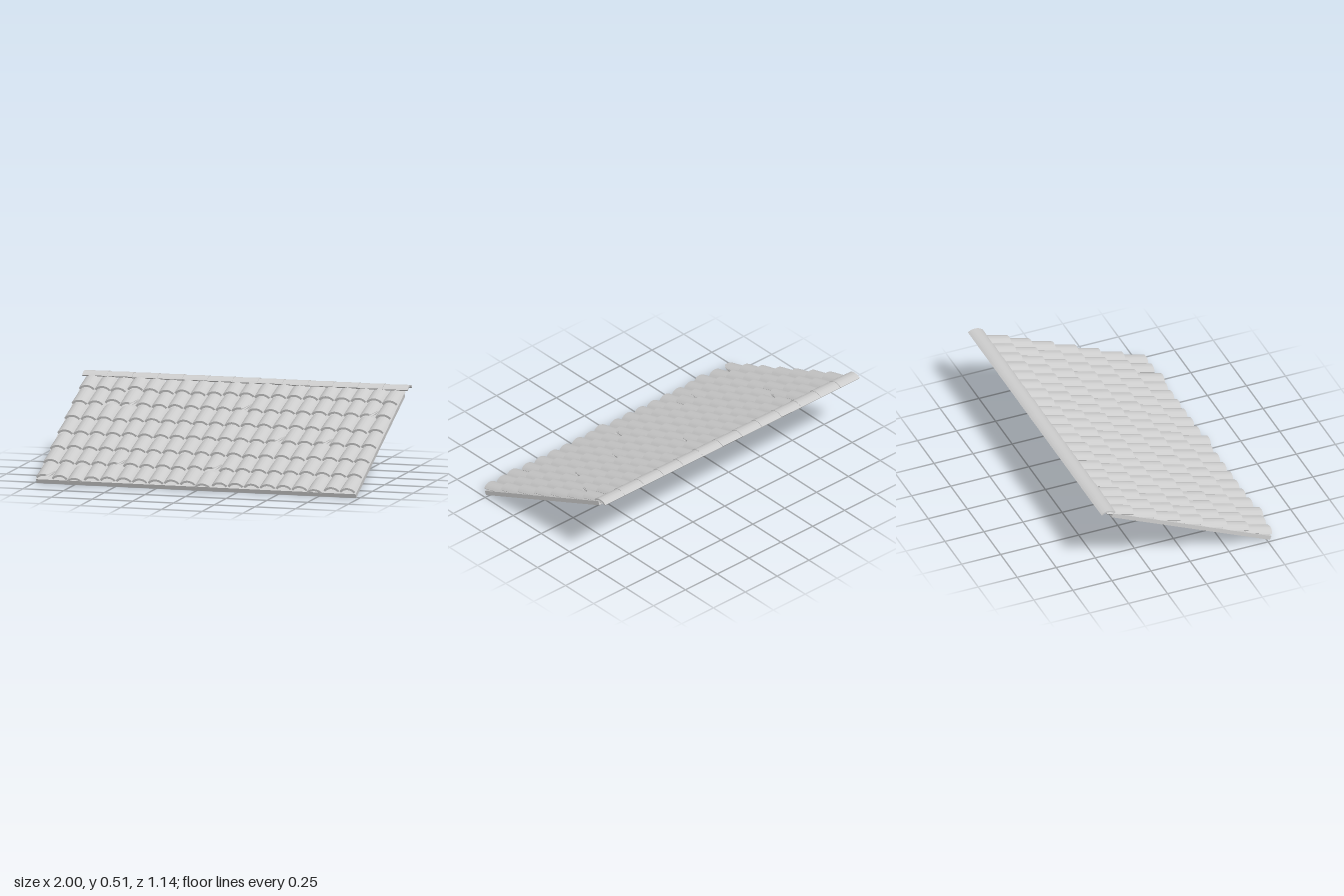
import * as THREE from 'three';
import { toCreasedNormals } from 'three/addons/utils/BufferGeometryUtils.js';

const material = new THREE.MeshStandardMaterial({ color: 0xcccccc });
const COLS = 20, ROWS = 7, PITCH = 0.0982;
const LEFT = -0.985;

// Curved shell with its crest at y = 0, running back from z = 0 to z = -length
function archGeometry(radius, halfAngle, thickness, length, reshape) {
  const a = Math.PI / 2 - halfAngle, b = Math.PI / 2 + halfAngle;
  const shape = new THREE.Shape();
  shape.absarc(0, -radius, radius, a, b, false);
  shape.absarc(0, -radius, radius - thickness, b, a, true);
  const geo = new THREE.ExtrudeGeometry(shape, { depth: length, bevelEnabled: false, curveSegments: 10 });
  geo.translate(0, 0, -length);
  if (reshape) {
    const p = geo.attributes.position, v = new THREE.Vector3();
    for (let i = 0; i < p.count; i++) {
      reshape(v.fromBufferAttribute(p, i));
      p.setXYZ(i, v.x, v.y, v.z);
    }
  }
  return toCreasedNormals(geo, 0.6);
}

function addMesh(parent, name, geo, x, y, z) {
  const mesh = new THREE.Mesh(geo, material);
  mesh.name = name;
  mesh.position.set(x, y, z);
  parent.add(mesh);
  return mesh;
}

function seeded(seed) {
  return () => (seed = (seed * 16807) % 2147483647) / 2147483647;
}

export function createModel() {
  const model = new THREE.Group();
  model.name = 'roofPanel';
  const rand = seeded(17);

  // Sloping deck, drawn from the side and extruded across the width
  const side = new THREE.Shape([[-0.517, 0], [0.495, 0.448], [0.485, 0.472], [-0.527, 0.024]]
    .map(([u, y]) => new THREE.Vector2(u, y)));
  const deckGeo = new THREE.ExtrudeGeometry(side, { depth: COLS * PITCH, bevelEnabled: false });
  deckGeo.translate(0, 0, LEFT).rotateY(Math.PI / 2);
  addMesh(model, 'deck', deckGeo, 0, 0, 0);

  // Barrel tiles: whole ones and ones with a broken front corner
  const whole = archGeometry(0.0635, 0.875, 0.013, 0.178);
  const chipped = archGeometry(0.0635, 0.875, 0.013, 0.178, (v) => {
    if (v.z > -0.01 && v.x > 0.025) v.z -= (v.x - 0.025) * 4;
  });
  const chips = ['0,0', '1,4', '1,10', '3,13', '3,16', '5,3', '5,10', '5,18'];
  const slips = { '0,2': 0.024, '0,10': 0.024, '0,17': 0.024, '5,2': -0.025, '6,3': -0.012,
    '1,8': 0.008, '2,0': 0.008, '2,12': 0.008, '2,15': 0.008, '4,3': 0.008, '4,18': 0.008,
    '6,2': 0.01, '6,5': 0.01, '6,7': 0.01, '6,11': 0.01, '6,19': 0.01 };
  const tiles = new THREE.Group();
  tiles.name = 'tiles';
  model.add(tiles);
  for (let row = 0; row < ROWS; row++) {
    for (let col = 0; col < COLS; col++) {
      const key = `${row},${col}`;
      const slip = (slips[key] || 0) + (rand() - 0.5) * 0.004;
      const tile = addMesh(tiles, 'tile', chips.includes(key) ? chipped : whole,
        LEFT + (col + 0.5) * PITCH,
        0.06 + row * 0.0655 - slip * 0.44 + (rand() - 0.5) * 0.003,
        0.541 - row * 0.148 + slip);
      tile.rotation.x = 0.28 + (rand() - 0.5) * 0.02;
    }
  }

  // Ridge caps, each flared a little at one end to lap over the next
  const caps = 13, step = 2 / caps, lap = 0.012;
  const capGeo = archGeometry(0.0725, 0.74, 0.01, step + lap, (v) => {
    const s = v.z > -0.01 ? 1 : 0.95;
    v.x *= s;
    v.y = v.y * s - (s < 1 ? 0.003 : 0);
  });
  capGeo.rotateY(Math.PI / 2);
  const ridge = new THREE.Group();
  ridge.name = 'ridge';
  model.add(ridge);
  for (let i = 0; i < caps; i++) {
    const cap = addMesh(ridge, 'ridgeCap', capGeo, -1 + (i + 1) * step, 0.514, -0.521);
    if (i === 0) cap.scale.x = step / (step + lap);
    cap.rotation.x = 0.06 + (rand() - 0.5) * 0.04;
  }
  return model;
}
